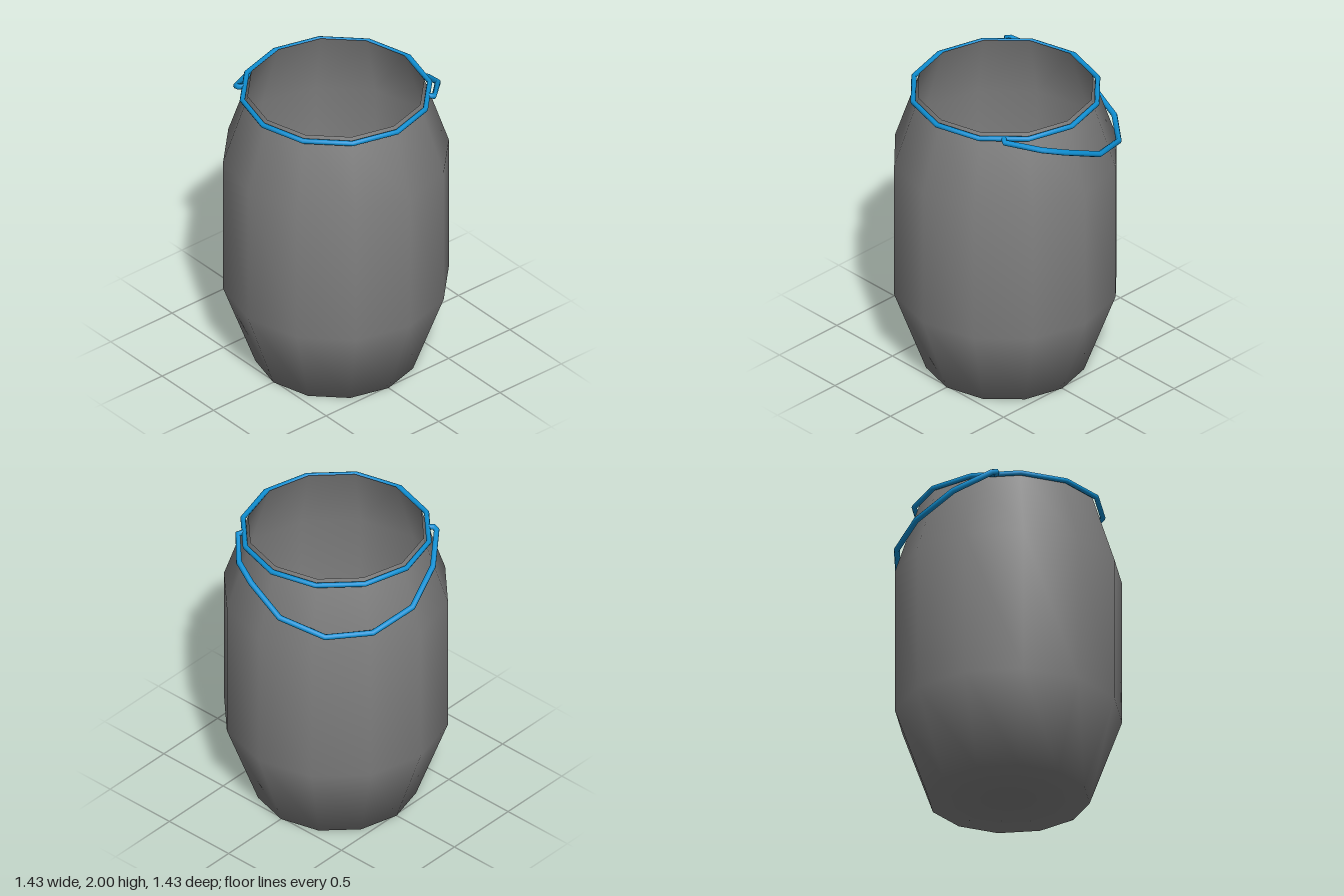
import * as THREE from 'three';

// Straight-sided path that keeps its corners, for bent wire
class Polyline extends THREE.Curve {
  constructor(points) {
    super();
    this.points = points;
  }
  getPoint(t) {
    const p = this.points, s = t * (p.length - 1);
    const i = Math.min(Math.floor(s + 1e-6), p.length - 2);
    return p[i].clone().lerp(p[i + 1], s - i);
  }
  getPointAt(t) {
    return this.getPoint(t);
  }
  // Corner tangents bisect the neighbouring segments
  getTangentAt(t) {
    const p = this.points, i = Math.round(t * (p.length - 1));
    const tangent = new THREE.Vector3();
    if (i > 0) tangent.add(p[i].clone().sub(p[i - 1]).normalize());
    if (i < p.length - 1) tangent.add(p[i + 1].clone().sub(p[i]).normalize());
    return tangent.normalize();
  }
}

export function createModel() {
  const group = new THREE.Group();
  group.name = 'barrel';

  const grey = new THREE.MeshStandardMaterial({ color: 0x808080, side: THREE.DoubleSide });
  grey.name = 'grey plastic';
  const blue = new THREE.MeshStandardMaterial({ color: 0x0e90d4 });
  blue.name = 'blue metal';

  function add(name, geometry, material) {
    const mesh = new THREE.Mesh(geometry, material);
    mesh.name = name;
    group.add(mesh);
    return mesh;
  }

  // Open twelve-sided shell with a floor
  const profile = [[0, 0], [0.512, 0], [0.717, 0.57], [0.717, 1.525], [0.56, 2]]
    .map(([r, y]) => new THREE.Vector2(r, y));
  add('body', new THREE.LatheGeometry(profile, 12), grey);

  // Clamping ring just below the rim
  const ring = new THREE.TorusGeometry(0.595, 0.017, 8, 12).rotateX(Math.PI / 2);
  add('rimRing', ring, blue).position.y = 1.975;

  // Bail handle hanging down on the back left
  const path = [
    [0.41, 1.975, 0.41], [0.44, 1.97, 0.43], [0.605, 1.92, 0.27], [0.655, 1.86, 0.12],
    [0.69, 1.745, -0.15], [0.575, 1.67, -0.43], [0.34, 1.67, -0.62], [0.05, 1.745, -0.69],
    [-0.23, 1.87, -0.61], [-0.43, 1.965, -0.46], [-0.435, 1.975, -0.43], [-0.41, 1.975, -0.41],
  ].map((p) => new THREE.Vector3(...p));
  add('handle', new THREE.TubeGeometry(new Polyline(path), path.length - 1, 0.019, 8), blue);

  return group;
}
